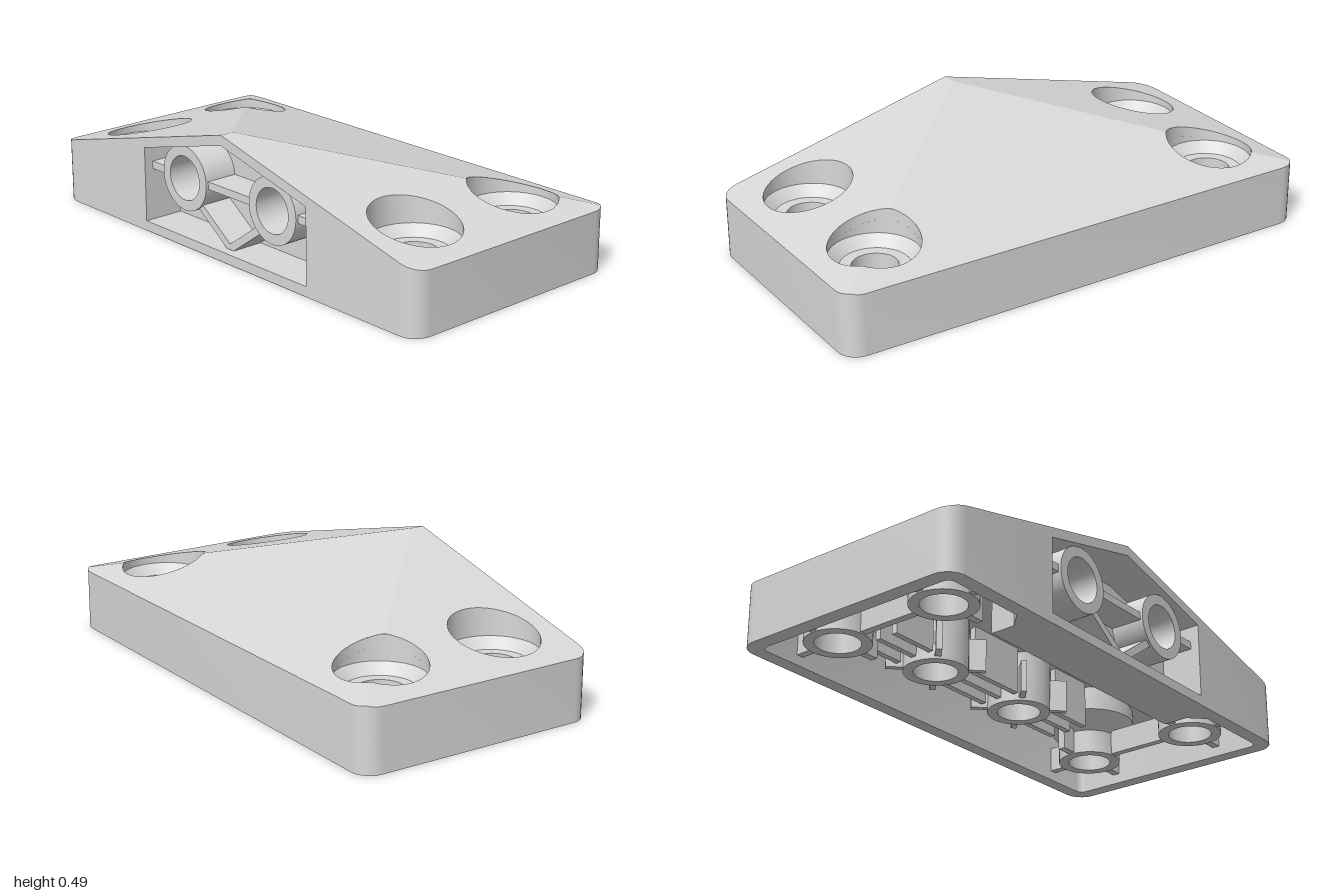
import * as THREE from 'three';
import { toCreasedNormals } from 'three/addons/utils/BufferGeometryUtils.js';

const HX = 0.497, EAVE = 0.242, APEX_X = -0.44, BORE = 0.168, SKIN = 0.04;
// height of the hipped roof
const roofY = (x, z) => EAVE + 0.25 * Math.min(1 - Math.abs(z), (HX - x) / (HX - APEX_X));
const underY = (x, z) => roofY(x, z) - SKIN;

// points [x, z] along an arc
function arc(cx, cz, r, a0, a1, n = 8) {
  return Array.from({ length: n + 1 }, (_, i) => {
    const a = a0 + (a1 - a0) * i / n;
    return [cx + r * Math.cos(a), cz + r * Math.sin(a)];
  });
}
const mirrorZ = (pts) => pts.map(([x, z]) => [x, -z]);
const vec = (pts) => pts.map((p) => new THREE.Vector2(p[0], p[1]));

// horizontal sheet with holes, its height following a rule
function sheet(pts, holes, yAt, up) {
  const shape = new THREE.Shape(vec(pts));
  holes.forEach((h) => shape.holes.push(new THREE.Path(vec(h))));
  const g = new THREE.ShapeGeometry(shape);
  const p = g.attributes.position;
  for (let i = 0; i < p.count; i++) {
    const x = p.getX(i), z = p.getY(i);
    p.setXYZ(i, x, yAt(x, z), z);
  }
  if (up) g.setIndex(Array.from(g.index.array).reverse());
  g.computeVertexNormals();
  return g;
}

// upright wall along a path between two height rules
function skirt(pts, lowAt, highAt) {
  const pos = [], idx = [];
  pts.forEach(([x, z], i) => {
    pos.push(x, lowAt(x, z), z, x, highAt(x, z), z);
    if (i) {
      const k = 2 * i;
      idx.push(k - 2, k - 1, k, k, k - 1, k + 1);
    }
  });
  const g = new THREE.BufferGeometry();
  g.setAttribute('position', new THREE.Float32BufferAttribute(pos, 3));
  g.setIndex(idx);
  return toCreasedNormals(g, 0.5);
}

function lathe(profile) {
  return toCreasedNormals(new THREE.LatheGeometry(vec(profile), 48), 0.5);
}

export function createModel() {
  const model = new THREE.Group();
  const grey = new THREE.MeshStandardMaterial({ color: 0xd8d8d8, side: THREE.DoubleSide });
  grey.name = 'light grey';
  const add = (name, g, x = 0, y = 0, z = 0) => {
    const m = new THREE.Mesh(g, grey);
    m.name = name;
    m.position.set(x, y, z);
    model.add(m);
    return m;
  };
  const box = (name, x0, x1, y0, y1, z0, z1) =>
    add(name, new THREE.BoxGeometry(x1 - x0, y1 - y0, z1 - z0), (x0 + x1) / 2, (y0 + y1) / 2, (z0 + z1) / 2);
  const at = (y) => () => y;
  const P = Math.PI, R = 0.075;

  // where the hip line enters and leaves the corner hole
  const len = Math.hypot(HX - APEX_X, 1), dx = (HX - APEX_X) / len, dz = 1 / len;
  const along = (0.25 - APEX_X) * dx + 0.75 * dz;
  const off = (0.25 - APEX_X) * dz - 0.75 * dx;
  const half = Math.sqrt(BORE * BORE - off * off);
  const angleAt = (t) => Math.atan2(t * dz - 0.75, APEX_X + t * dx - 0.25);
  const aIn = angleAt(along - half), aOut = angleAt(along + half);

  // roof faces, outer skin and underside
  const tip = [APEX_X, 0];
  const frontFace = [tip, [-HX, 0], ...arc(-HX + R, 1 - R, R, P, P / 2),
    ...arc(HX - R, 1 - R, R, P / 2, P / 4, 4), ...arc(0.25, 0.75, BORE, aOut, aIn + 2 * P, 24)];
  const hipHalf = [...arc(0.25, 0.75, BORE, aIn, aOut, 24), ...arc(HX - R, 1 - R, R, P / 4, 0, 4)];
  const endFace = [tip, ...hipHalf, ...mirrorZ(hipHalf).reverse()];
  const leftHole = arc(-0.25, 0.75, BORE, 0, 2 * P, 48).slice(0, -1);
  for (const [kind, rule, up] of [['roof', roofY, true], ['roofUnderside', underY, false]]) {
    add(kind + 'Front', sheet(frontFace, [leftHole], rule, up));
    add(kind + 'Back', sheet(mirrorZ(frontFace), [mirrorZ(leftHole)], rule, up));
    add(kind + 'End', sheet(endFace, [], rule, up));
  }

  // outer wall, left open at the side window
  const W = 0.46;
  const outerHalf = [[-HX, W], ...arc(-HX + R, 1 - R, R, P, P / 2), ...arc(HX - R, 1 - R, R, P / 2, 0)];
  const outer = [...outerHalf, ...mirrorZ(outerHalf).reverse()];
  add('outerWall', skirt(outer, at(0), roofY));
  add('windowHead', skirt([[-HX, -W], [-HX, 0], [-HX, W]], underY, roofY));

  // cavity wall and bottom rim
  const r = 0.03;
  const innerHalf = [[-0.28, 0.53], [-0.38, 0.53], [-0.44, 0.59], ...arc(-0.44 + r, 0.94 - r, r, P, P / 2),
    ...arc(0.44 - r, 0.94 - r, r, P / 2, 0)];
  const inner = [...innerHalf, ...mirrorZ(innerHalf).reverse()];
  add('cavityWall', skirt(inner, at(0), underY));
  add('bottomRim', sheet(outer, [inner], at(0), false));

  // side recess: sill, cheeks and drilled back panel
  box('recessSill', -HX, -0.29, 0.001, 0.04, -W, W);
  for (const s of [1, -1]) {
    add('recessCheek', skirt([[-HX, s * W], [-0.33, s * W]], at(0), underY));
  }
  const panel = new THREE.Shape(vec([[-0.53, 0], [0.53, 0], [0.53, 0.34], [0.17, 0.427], [-0.17, 0.427], [-0.53, 0.34]]));
  for (const z of [-0.25, 0.25]) {
    panel.holes.push(new THREE.Path().absarc(z, 0.26, 0.085, 0, 2 * P));
  }
  const panelGeo = new THREE.ExtrudeGeometry(panel, { depth: 0.05, bevelEnabled: false, curveSegments: 24 });
  panelGeo.rotateY(-P / 2);
  add('recessBackPanel', toCreasedNormals(panelGeo, 0.5), -0.28);

  // sideways tubes in the recess with joining fins
  for (const s of [-1, 1]) {
    const tube = add('sideTube', lathe([[0.087, 0], [0.128, 0], [0.128, 0.17], [0.087, 0.17], [0.087, 0]]), -0.47, 0.26, s * 0.25);
    tube.rotation.z = -P / 2;
    box('tubeFin', -0.46, -0.32, 0.245, 0.275, Math.min(s * 0.37, s * W), Math.max(s * 0.37, s * W));
    const strut = box('tubeStrut', -0.46, -0.32, 0.09, 0.12, s * 0.085 - 0.105, s * 0.085 + 0.105);
    strut.rotation.x = s * -0.62;
  }
  box('tubeBridge', -0.46, -0.32, 0.245, 0.275, -0.125, 0.125);

  // countersunk screw bosses
  for (const x of [-0.25, 0.25]) for (const z of [-0.75, 0.75]) {
    add('screwBoss', lathe([[BORE, 0.235], [0.128, 0.195], [0.085, 0.195], [0.085, 0.035], [0.125, 0.035],
      [0.125, 0.13], [0.185, 0.2]]), x, 0, z);
    add('counterbore', skirt(arc(x, z, BORE, 0, 2 * P, 48), at(0.235), roofY));
    add('bossCollar', skirt(arc(x, z, 0.185, 0, 2 * P, 48), at(0.2), underY));
    for (const s of [-1, 1]) box('bossFin', x - 0.015, x + 0.015, 0.04, 0.14, z + s * 0.155 - 0.035, z + s * 0.155 + 0.035);
    const o = Math.sign(x);
    box('bossWallFin', Math.min(o * 0.37, o * 0.45), Math.max(o * 0.37, o * 0.45), 0.04, 0.14, z - 0.015, z + 0.015);
  }
  for (const z of [-0.75, 0.75]) box('bossBridge', -0.13, 0.13, 0.04, 0.14, z - 0.015, z + 0.015);

  // blind tubes under the low side of the roof
  const bx = 0.225, by = 0.09;
  for (const z of [-0.25, 0.25]) {
    const ring = arc(bx, z, 0.125, 0, 2 * P, 48), bore = arc(bx, z, 0.085, 0, 2 * P, 48);
    add('blindTubeOuter', skirt(ring, at(by), underY));
    add('blindTubeInner', skirt(bore, at(by), underY));
    add('blindTubeEnd', sheet(ring.slice(0, -1), [bore.slice(0, -1)], at(by), false));
    for (let i = 0; i < 4; i++) {
      const a = P / 4 + i * P / 2;
      const fin = box('blindTubeFin', bx - 0.035, bx + 0.035, by + 0.01, 0.23, z - 0.012, z + 0.012);
      fin.position.x += Math.cos(a) * 0.155;
      fin.position.z += Math.sin(a) * 0.155;
      fin.rotation.y = -a;
    }
  }

  // slats beneath the roof, between and beside the blind tubes
  for (const x of [0.145, 0.225, 0.305]) for (const z of [-0.47, 0, 0.47]) {
    const span = z ? 0.1 : 0.13;
    box('roofSlat', x - 0.012, x + 0.012, by + 0.02, underY(x, z) + 0.01, z - span, z + span);
  }
  return model;
}
